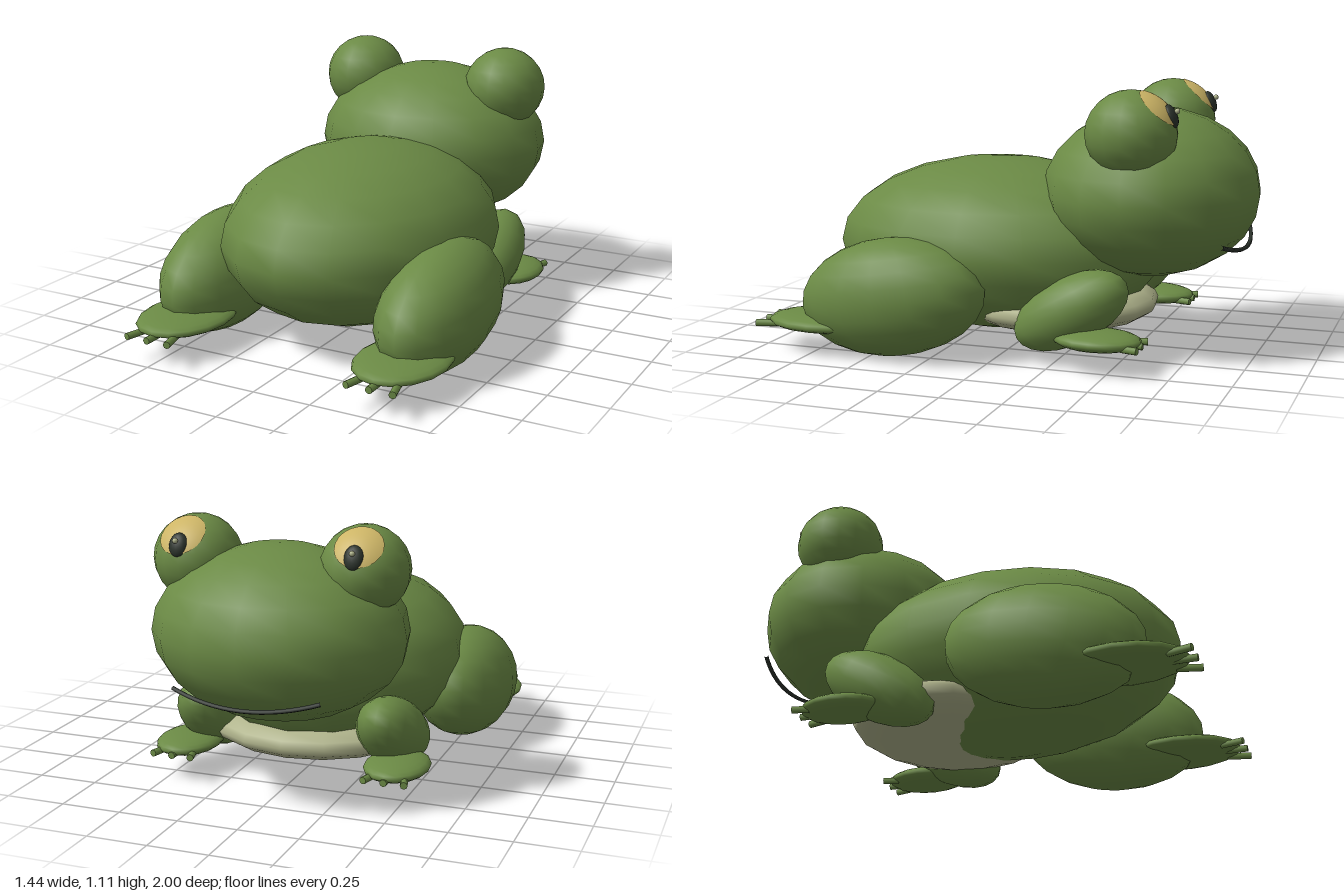
import * as THREE from 'three';

const mat = (name, color) => Object.assign(new THREE.MeshStandardMaterial({ color }), { name });

export function createModel() {
  const skin = mat('skin green', 0x6b8a45);
  const cream = mat('belly cream', 0xb0b48c);
  const gold = mat('iris gold', 0xcdb566);
  const dark = mat('dark', 0x2c332c);
  const frog = new THREE.Group();
  frog.name = 'frog';

  const add = (name, geometry, material, position, rotation = [0, 0, 0]) => {
    const mesh = new THREE.Mesh(geometry, material);
    mesh.name = name;
    mesh.position.set(...position);
    mesh.rotation.set(...rotation);
    frog.add(mesh);
    return mesh;
  };
  const ellipsoid = (name, material, position, radii, rotation) =>
    add(name, new THREE.SphereGeometry(1, 16, 12).scale(...radii), material, position, rotation);

  // Three splayed toes; dir is +1 for toes pointing back, -1 for forward
  const toes = (name, x, y, z, spread, dir, length) => {
    for (const i of [-1, 0, 1]) {
      const toe = new THREE.CylinderGeometry(0.015, 0.015, length, 8).rotateX(Math.PI / 2);
      add(name, toe, skin, [x + i * spread, y, z], [0, i * dir * 0.25, 0]);
    }
  };

  // Torso, belly patch and head (the face looks towards -z)
  ellipsoid('body', skin, [0, 0.42, 0.12], [0.55, 0.37, 0.72]);
  ellipsoid('belly', cream, [0, 0.18, -0.15], [0.46, 0.11, 0.42]);
  ellipsoid('head', skin, [0, 0.67, -0.55], [0.52, 0.35, 0.45]);

  // Mouth line curving across the muzzle
  const smile = new THREE.QuadraticBezierCurve3(
    new THREE.Vector3(-0.3, 0.5, -0.905),
    new THREE.Vector3(0, 0.41, -0.995),
    new THREE.Vector3(0.3, 0.5, -0.905));
  add('mouth', new THREE.TubeGeometry(smile, 16, 0.009, 6), dark, [0, 0, 0]);

  for (const s of [-1, 1]) {
    // Bulging eye with a thin iris cap, pupil and glint
    const eyeAt = [s * 0.35, 0.94, -0.55];
    const eyeRadii = [0.177, 0.174, 0.186];
    ellipsoid('eye', skin, eyeAt, eyeRadii);
    const look = new THREE.Vector3(s * 0.08, 0.71, -0.7).normalize();
    const turn = new THREE.Quaternion().setFromUnitVectors(new THREE.Vector3(0, 1, 0), look);
    const cap = new THREE.SphereGeometry(1.012, 20, 5, 0, Math.PI * 2, 0, 0.56)
      .applyQuaternion(turn).scale(...eyeRadii);
    add('iris', cap, gold, eyeAt);
    ellipsoid('pupil', dark, [s * 0.358, 1.015, -0.712], [0.038, 0.048, 0.022], [0.4, 0, 0]);
    ellipsoid('glint', cream, [s * 0.36, 1.035, -0.735], [0.011, 0.011, 0.011]);

    // Hind leg
    ellipsoid('thigh', skin, [s * 0.505, 0.252, 0.41], [0.215, 0.245, 0.408], [0.14, 0, 0]);
    ellipsoid('hindFoot', skin, [s * 0.5, 0.13, 0.72], [0.185, 0.042, 0.25]);
    toes('hindToe', s * 0.5, 0.115, 0.95, 0.085, 1, 0.1);

    // Front leg
    ellipsoid('arm', skin, [s * 0.395, 0.225, -0.32], [0.14, 0.136, 0.264], [0.51, 0, 0]);
    ellipsoid('frontFoot', skin, [s * 0.455, 0.13, -0.45], [0.132, 0.042, 0.18]);
    toes('frontToe', s * 0.455, 0.118, -0.6, 0.075, -1, 0.07);
  }
  return frog;
}
